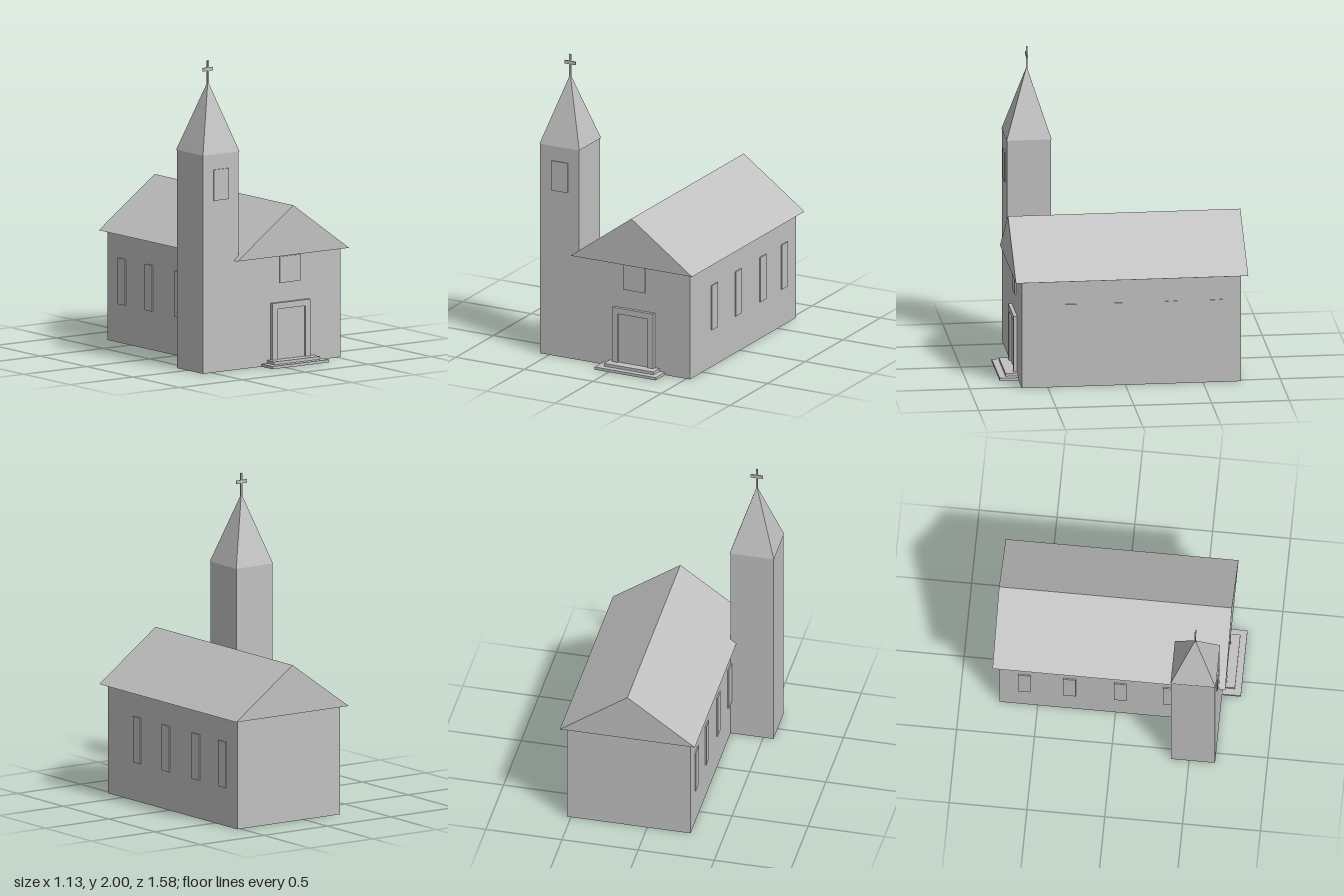
import * as THREE from 'three';

export function createModel() {
  const model = new THREE.Group();
  model.name = 'church';
  const stone = new THREE.MeshStandardMaterial({ color: 0xc0c0c0 });
  stone.name = 'grey stone';

  const add = (name, geometry, parent = model) => {
    const mesh = new THREE.Mesh(geometry, stone);
    mesh.name = name;
    parent.add(mesh);
    return mesh;
  };
  // Box given by its limits on each axis
  const box = (name, [x0, x1], [y0, y1], [z0, z1], parent) => {
    const mesh = add(name, new THREE.BoxGeometry(x1 - x0, y1 - y0, z1 - z0), parent);
    mesh.position.set((x0 + x1) / 2, (y0 + y1) / 2, (z0 + z1) / 2);
    return mesh;
  };

  const front = 0.667, back = -0.745, left = 0.525, right = -0.285;
  const towerX = -0.425, towerZ = 0.526, naveX = 0.12;

  // Nave with an overhanging gable roof
  box('nave', [right, left], [0, 0.71], [back, front]);
  const gable = new THREE.Shape([
    new THREE.Vector2(naveX - 0.443, 0.71),
    new THREE.Vector2(naveX + 0.443, 0.71),
    new THREE.Vector2(naveX, 1.03),
  ]);
  const roof = add('roof', new THREE.ExtrudeGeometry(gable, { depth: 1.496, bevelEnabled: false }));
  roof.position.z = -0.787;

  // Bell tower with a four-sided spire
  box('tower', [towerX - 0.142, right], [0, 1.415], [0.385, front]);
  const cone = new THREE.ConeGeometry(0.145 * Math.SQRT2, 0.45, 4, 1).rotateY(Math.PI / 4).toNonIndexed();
  cone.computeVertexNormals();
  add('spire', cone).position.set(towerX, 1.64, towerZ);

  // Cross on the spire
  const cross = new THREE.Group();
  cross.name = 'cross';
  model.add(cross);
  box('crossPost', [towerX - 0.006, towerX + 0.006], [1.84, 2], [towerZ - 0.004, towerZ + 0.004], cross);
  box('crossBar', [towerX - 0.04, towerX + 0.04], [1.932, 1.954], [towerZ - 0.004, towerZ + 0.004], cross);

  // Entrance steps
  box('lowerStep', [-0.103, 0.343], [0, 0.018], [front, 0.788]);
  box('upperStep', [-0.06, 0.303], [0.018, 0.037], [front, 0.746]);

  // Door slightly recessed in its frame
  const entrance = new THREE.Group();
  entrance.name = 'entrance';
  model.add(entrance);
  box('door', [0.01, 0.23], [0.037, 0.365], [front, 0.678], entrance);
  box('frameRight', [-0.03, 0.01], [0.037, 0.405], [front, 0.69], entrance);
  box('frameLeft', [0.23, 0.27], [0.037, 0.405], [front, 0.69], entrance);
  box('lintel', [0.01, 0.23], [0.365, 0.405], [front, 0.69], entrance);

  // Thin window plates on the front walls
  box('gableWindow', [0.04, 0.2], [0.53, 0.7], [front, front + 0.008]);
  box('towerWindow', [towerX - 0.06, towerX + 0.06], [1.115, 1.315], [front, front + 0.008]);

  // Four tall windows along each side wall
  for (const z of [0.345, 0.03, -0.295, -0.585]) {
    box('leftWindow', [left, left + 0.008], [0.25, 0.55], [z - 0.04, z + 0.04]);
    box('rightWindow', [right - 0.008, right], [0.25, 0.55], [z - 0.04, z + 0.04]);
  }
  return model;
}
